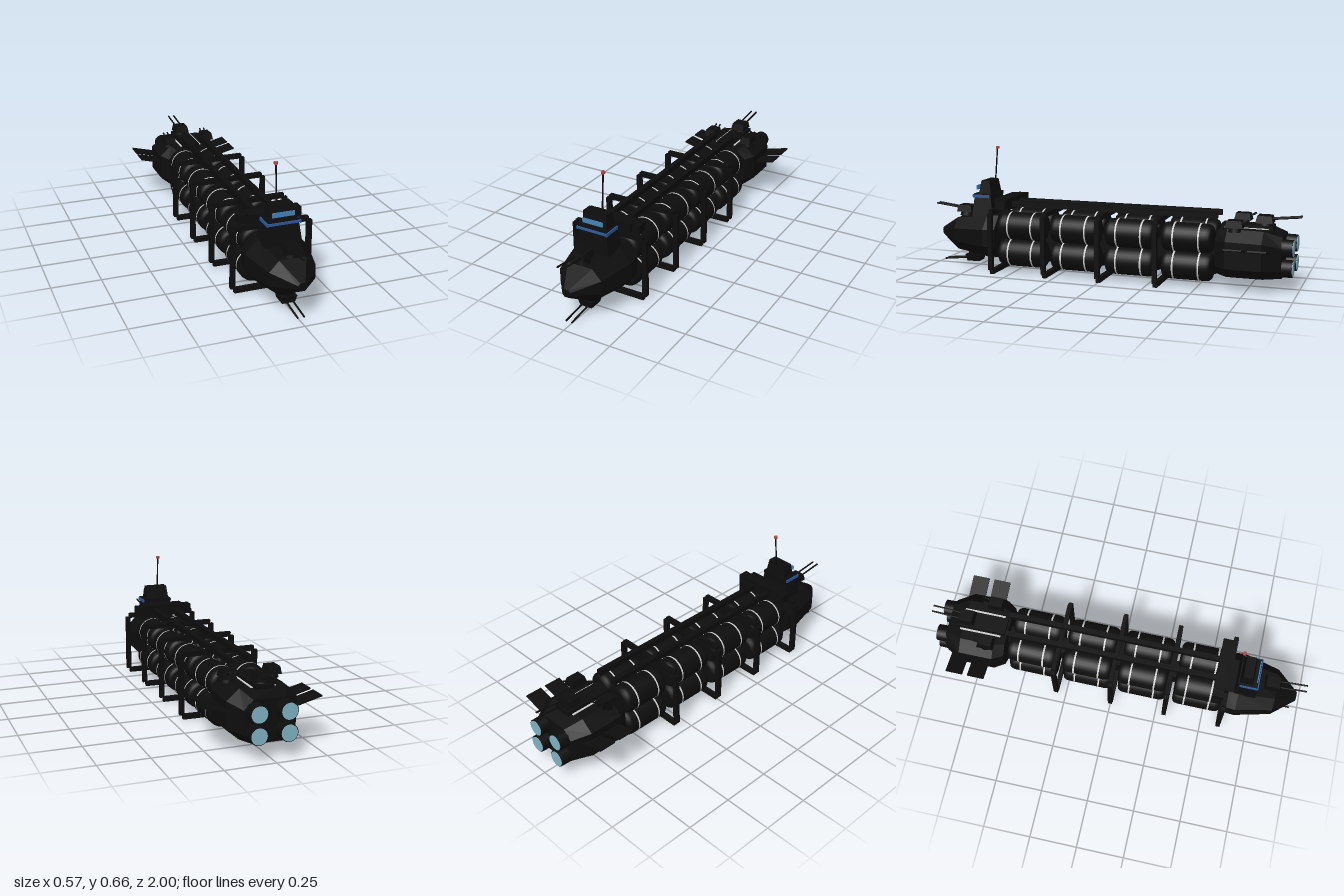
import * as THREE from 'three';

const mat = (color, flat = false) => new THREE.MeshStandardMaterial({ color, flatShading: flat, side: THREE.DoubleSide });
const DARK = mat(0x0d0d0d), HULL = mat(0x0d0d0d, true), WHITE = mat(0xdddddd);
const BLUE = mat(0x2a5a9c), WINDOW = mat(0x4484b8), GLOW = mat(0x80b4c4), RED = mat(0xb84444);

export function createModel() {
  const root = new THREE.Group();
  const add = (name, geo, material, x = 0, y = 0, z = 0, parent = root) => {
    const m = new THREE.Mesh(geo, material);
    m.name = name;
    m.position.set(x, y, z);
    parent.add(m);
    return m;
  };
  const box = (name, w, h, d, x, y, z, material = DARK, parent = root) =>
    add(name, new THREE.BoxGeometry(w, h, d), material, x, y, z, parent);

  // Box whose top is narrowed by sx, sz
  const taper = (w, h, d, sx, sz) => {
    const g = new THREE.BoxGeometry(w, h, d), p = g.attributes.position;
    for (let i = 0; i < p.count; i++) {
      if (p.getY(i) > 0) { p.setX(i, p.getX(i) * sx); p.setZ(i, p.getZ(i) * sz); }
    }
    g.computeVertexNormals();
    return g;
  };

  // Thin rod between two points
  const rod = (name, a, b, r, material = DARK, parent = root) => {
    const A = new THREE.Vector3(...a), B = new THREE.Vector3(...b), d = B.clone().sub(A);
    const m = add(name, new THREE.CylinderGeometry(r, r, d.length(), 8), material, 0, 0, 0, parent);
    m.position.copy(A).add(B).multiplyScalar(0.5);
    m.quaternion.setFromUnitVectors(new THREE.Vector3(0, 1, 0), d.normalize());
    return m;
  };

  // Chamfered hull through sections [z, halfWidth, bottom, top], front to back;
  // cx and cy are the chamfer sizes as fractions of half width and height
  const hull = (sections, cx, cy) => {
    const rings = sections.map(([z, w, b, t]) => {
      const i = w * (1 - cx), lo = b + (t - b) * cy, hi = t - (t - b) * cy;
      return [[w, lo], [w, hi], [i, t], [-i, t], [-w, hi], [-w, lo], [-i, b], [i, b]].map(([x, y]) => [x, y, z]);
    });
    const v = [], tri = (...pts) => pts.forEach((p) => v.push(...p));
    for (let s = 0; s < rings.length - 1; s++) {
      for (let i = 0; i < 8; i++) {
        const j = (i + 1) % 8, f = rings[s], k = rings[s + 1];
        tri(f[i], k[i], f[j]);
        tri(f[j], k[i], k[j]);
      }
    }
    const first = rings[0], last = rings[rings.length - 1];
    for (let i = 1; i < 7; i++) {
      tri(first[0], first[i], first[i + 1]);
      tri(last[0], last[i + 1], last[i]);
    }
    const g = new THREE.BufferGeometry();
    g.setAttribute('position', new THREE.Float32BufferAttribute(v, 3));
    g.computeVertexNormals();
    return g;
  };

  // Bow and stern hulls
  add('bowHull', hull([[0.965, 0.022, 0.16, 0.2], [0.85, 0.115, 0.095, 0.268],
    [0.66, 0.16, 0.07, 0.295], [0.595, 0.153, 0.07, 0.298]], 0.42, 0.3), HULL);
  add('sternHull', hull([[-0.595, 0.14, 0.075, 0.295], [-0.65, 0.173, 0.065, 0.308],
    [-0.83, 0.173, 0.065, 0.305], [-0.92, 0.125, 0.07, 0.275]], 0.36, 0.22), HULL);

  // Central spine joining the two hulls
  box('spine', 0.09, 0.09, 1.22, 0, 0.175, 0);

  // Cargo tanks: four groups of four, each with two pale bands
  const R = 0.074, L = 0.13;
  const profile = [[0, -L], [0.05, -L], [0.064, -L + 0.006], [0.071, -L + 0.016], [R, -L + 0.032],
    [R, L - 0.032], [0.071, L - 0.016], [0.064, L - 0.006], [0.05, L], [0, L]];
  const tankGeo = new THREE.LatheGeometry(profile.map(([x, y]) => new THREE.Vector2(x, y)), 32).rotateX(Math.PI / 2);
  const bandGeo = new THREE.CylinderGeometry(R + 0.0012, R + 0.0012, 0.009, 32, 1, true).rotateX(Math.PI / 2);
  for (const z of [0.455, 0.155, -0.145, -0.445]) {
    for (const x of [-0.074, 0.074]) for (const y of [0.102, 0.246]) {
      const tank = new THREE.Group();
      tank.name = 'tank';
      tank.position.set(x, y, z);
      root.add(tank);
      add('tankBody', tankGeo, DARK, 0, 0, 0, tank);
      for (const dz of [-0.066, 0.066]) add('tankBand', bandGeo, WHITE, 0, 0, dz, tank);
    }
  }

  // Square frames around the tanks
  for (const z of [0.595, 0.297, 0, -0.303]) {
    const frame = new THREE.Group();
    frame.name = 'frame';
    frame.position.z = z;
    root.add(frame);
    box('frameBottom', 0.376, 0.025, 0.023, 0, 0.0125, 0, DARK, frame);
    box('frameTop', 0.376, 0.025, 0.023, 0, 0.333, 0, DARK, frame);
    for (const s of [-1, 1]) box('framePost', 0.024, 0.3, 0.023, s * 0.195, 0.174, 0, DARK, frame);
  }

  // Top rails and the housing at their front end
  for (const s of [-1, 1]) {
    box('topRail', 0.026, 0.028, 1.19, s * 0.052, 0.361, 0.005);
    box('railHousingSide', 0.045, 0.045, 0.055, s * 0.137, 0.367, 0.555);
  }
  box('railHousing', 0.235, 0.062, 0.075, 0, 0.363, 0.565);

  // Bridge tower with blue trim, cabin and window
  add('bridgeBase', taper(0.184, 0.105, 0.115, 0.82, 0.85), DARK, 0, 0.338, 0.692);
  const brow = new THREE.Group();
  brow.name = 'bridgeTrim';
  root.add(brow);
  box('trimFront', 0.168, 0.012, 0.006, 0, 0.397, 0.745, BLUE, brow);
  for (const s of [-1, 1]) box('trimSide', 0.006, 0.016, 0.095, s * 0.081, 0.395, 0.699, BLUE, brow);
  box('bridgeDeck', 0.156, 0.018, 0.1, 0, 0.399, 0.692);
  add('bridgeCabin', taper(0.134, 0.072, 0.07, 0.86, 0.68), DARK, 0, 0.441, 0.683);
  box('bridgeWindow', 0.112, 0.024, 0.004, 0, 0.438, 0.735, WINDOW);
  rod('mast', [0, 0.47, 0.65], [0, 0.648, 0.635], 0.004);
  add('mastLight', new THREE.CylinderGeometry(0.01, 0.01, 0.012, 12), RED, 0, 0.652, 0.634);

  // Gun turrets; up is 1 or -1, aim is the z direction of the barrels
  const turret = (name, x, y, z, w, up, aim, reach, gap = 0.016) => {
    const t = new THREE.Group();
    t.name = name;
    t.position.set(x, y, z);
    t.scale.set(1, up, aim);
    root.add(t);
    add('turretBase', new THREE.CylinderGeometry(w * 0.42, w * 0.5, 0.024, 16), DARK, 0, 0.006, 0, t);
    add('turretHead', taper(w, 0.036, 0.088, 0.8, 0.8), DARK, 0, 0.034, 0, t);
    for (const s of [-1, 1]) rod('barrel', [s * gap, 0.036, 0.03], [s * gap, 0.053, reach], 0.0045, DARK, t);
  };
  turret('bowTopTurret', 0, 0.28, 0.825, 0.074, 1, 1, 0.175);
  turret('bowBottomTurret', 0, 0.075, 0.78, 0.08, -1, 1, 0.177);
  turret('sternTopTurret', 0, 0.316, -0.818, 0.08, 1, -1, 0.182);
  for (const s of [-1, 1]) turret('sternSideTurret', s * 0.112, 0.303, -0.688, 0.066, 1, -1, 0.065, 0.012);

  // Raised stern deck with pale stripes beside it
  box('sternDeck', 0.09, 0.02, 0.26, 0, 0.311, -0.735);
  for (const s of [-1, 1]) box('sternStripe', 0.01, 0.004, 0.22, s * 0.056, 0.307, -0.735, WHITE);

  // Paired radiator fins on each side of the stern
  for (const s of [-1, 1]) for (const z of [-0.827, -0.71]) {
    const fin = box('fin', 0.13, 0.007, 0.09, s * 0.22, 0.224, z);
    fin.rotation.z = s * 0.25;
  }

  // Four engines with glowing nozzles
  for (const x of [-0.073, 0.073]) for (const y of [0.121, 0.222]) {
    add('engine', new THREE.CylinderGeometry(0.043, 0.046, 0.1, 24).rotateX(-Math.PI / 2), DARK, x, y, -0.922);
    add('engineGlow', new THREE.CylinderGeometry(0.039, 0.039, 0.004, 24).rotateX(Math.PI / 2), GLOW, x, y, -0.973);
  }

  return root;
}
